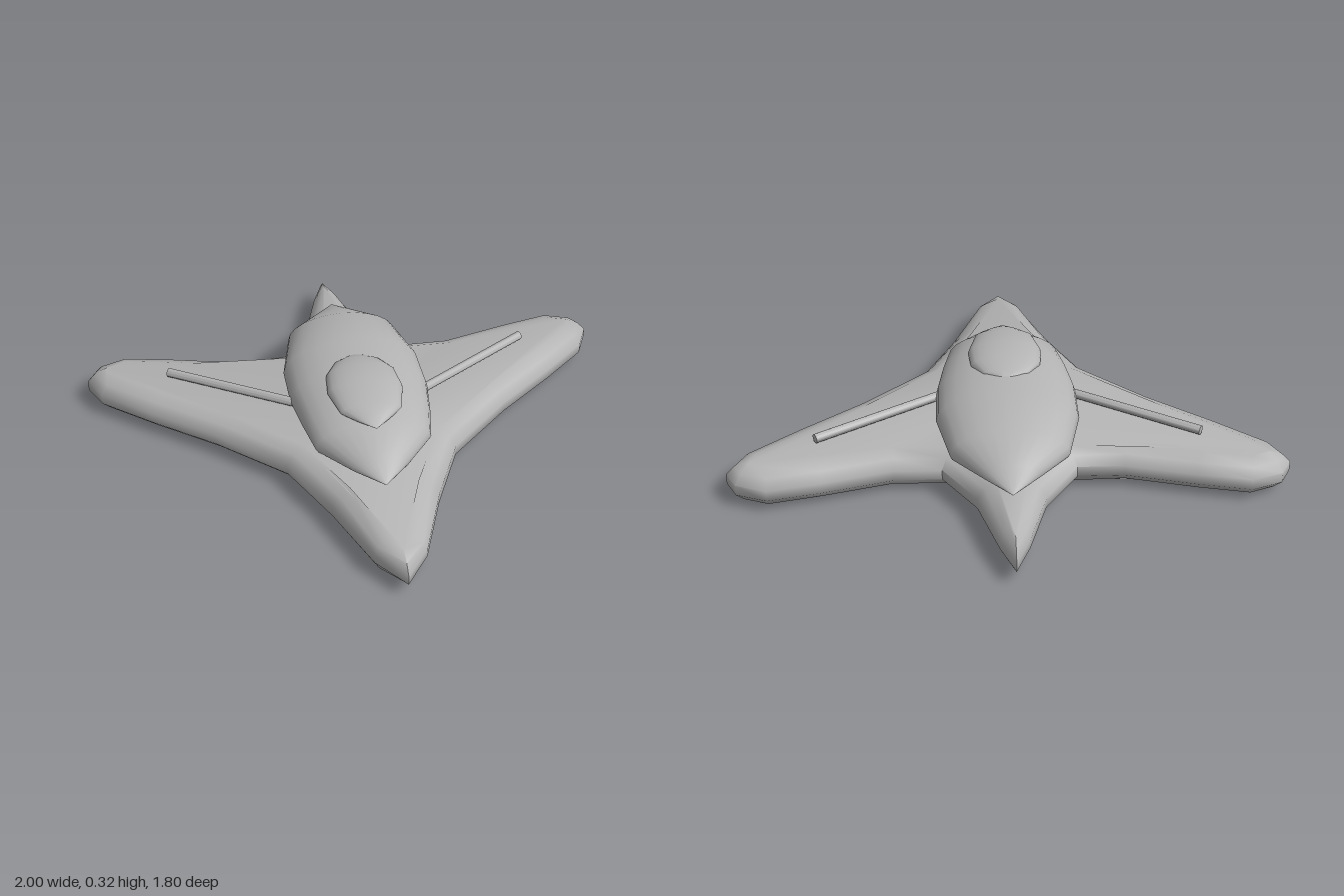
import * as THREE from 'three';
import { toCreasedNormals } from 'three/addons/utils/BufferGeometryUtils.js';

function makeGeometry(positions, index, crease) {
  const g = new THREE.BufferGeometry();
  g.setAttribute('position', new THREE.Float32BufferAttribute(positions, 3));
  g.setIndex(index);
  return toCreasedNormals(g, crease);
}

// Rounded slab: stacked, inset copies of the plan outline
function hullGeometry() {
  const half = [
    [0, 0.9], [0.09, 0.78], [0.19, 0.52], [0.31, 0.27], [0.55, 0.05], [0.77, -0.12],
    [0.95, -0.27], [1, -0.37], [0.96, -0.44], [0.85, -0.48], [0.66, -0.44], [0.41, -0.375],
    [0.24, -0.375], [0.12, -0.55], [0.05, -0.78], [0, -0.9],
  ];
  const outline = [...half, ...half.slice(1, -1).reverse().map(([x, z]) => [-x, z])];
  const layers = [[0, 0.075], [0.012, 0.035], [0.05, 0], [0.09, 0], [0.122, 0.03], [0.142, 0.075]];
  const n = outline.length;
  const positions = [];
  const index = [];
  for (const [y, inset] of layers) {
    outline.forEach(([x, z], i) => {
      const p = outline[(i + n - 1) % n];
      const q = outline[(i + 1) % n];
      const len = Math.hypot(q[0] - p[0], q[1] - p[1]);
      const tip = Math.abs(z) > 0.7;
      const d = inset * (tip ? (x === 0 ? 1.2 : 0.5) : 1);
      const flat = tip ? 0.85 : 1; // thinner at nose and tail
      positions.push(
        x + ((q[1] - p[1]) / len) * d,
        0.07 + (y - 0.07) * flat,
        z - ((q[0] - p[0]) / len) * d,
      );
    });
  }
  for (let k = 0; k < layers.length - 1; k++) {
    for (let i = 0; i < n; i++) {
      const a = k * n + i;
      const b = k * n + ((i + 1) % n);
      index.push(a, b, a + n, b, b + n, a + n);
    }
  }
  const top = (layers.length - 1) * n;
  const contour = outline.map(([x, z]) => new THREE.Vector2(x, -z));
  for (const [a, b, c] of THREE.ShapeUtils.triangulateShape(contour, [])) {
    index.push(top + a, top + b, top + c, a, c, b);
  }
  return makeGeometry(positions, index, 0.9);
}

// Pod lofted from stations: [z, half width, seam y, top y, bottom y], nose to tail
function podGeometry(stations, sides = 24) {
  const positions = [];
  const index = [];
  for (const [z, w, seam, top, bottom] of stations) {
    for (let j = 0; j < sides; j++) {
      const a = (j / sides) * Math.PI * 2;
      const s = Math.sin(a);
      positions.push(w * Math.cos(a), seam + s * (s > 0 ? top - seam : seam - bottom), z);
    }
  }
  for (let i = 0; i < stations.length - 1; i++) {
    for (let j = 0; j < sides; j++) {
      const a = i * sides + j;
      const b = i * sides + ((j + 1) % sides);
      if (i > 0) index.push(a, a + sides, b);
      if (i < stations.length - 2) index.push(b, a + sides, b + sides);
      else if (i === 0) index.push(b, a + sides, b + sides);
    }
  }
  return makeGeometry(positions, index, 0.9);
}

export function createModel() {
  const model = new THREE.Group();
  model.name = 'spacecraft';
  const grey = new THREE.MeshStandardMaterial({ color: 0xb4b4b4 });
  grey.name = 'hull grey';

  const add = (name, geometry) => {
    const mesh = new THREE.Mesh(geometry, grey);
    mesh.name = name;
    model.add(mesh);
    return mesh;
  };

  add('wingHull', hullGeometry());

  add('fuselage', podGeometry([
    [0.52, 0, 0.16, 0.16, 0.16],
    [0.42, 0.1, 0.16, 0.213, 0.14],
    [0.29, 0.21, 0.165, 0.262, 0.12],
    [0.15, 0.238, 0.17, 0.282, 0.11],
    [0.0, 0.26, 0.17, 0.293, 0.1],
    [-0.18, 0.26, 0.17, 0.291, 0.1],
    [-0.4, 0.21, 0.165, 0.268, 0.11],
    [-0.52, 0.1, 0.16, 0.213, 0.135],
    [-0.63, 0, 0.16, 0.16, 0.16],
  ]));

  add('canopy', podGeometry([
    [0.34, 0, 0.268, 0.268, 0.268],
    [0.29, 0.06, 0.27, 0.29, 0.262],
    [0.24, 0.11, 0.272, 0.307, 0.26],
    [0.12, 0.138, 0.275, 0.324, 0.255],
    [0.02, 0.128, 0.277, 0.32, 0.255],
    [-0.05, 0.085, 0.28, 0.304, 0.26],
    [-0.08, 0.03, 0.285, 0.293, 0.275],
    [-0.085, 0, 0.288, 0.288, 0.288],
  ]));

  // Slim barrels swept back over each wing
  for (const side of [1, -1]) {
    const start = new THREE.Vector3(side * 0.2, 0.165, 0.03);
    const end = new THREE.Vector3(side * 0.69, 0.165, -0.27);
    const dir = end.clone().sub(start);
    const barrel = add(side > 0 ? 'leftBarrel' : 'rightBarrel',
      toCreasedNormals(new THREE.CylinderGeometry(0.017, 0.017, dir.length(), 12), 0.9));
    barrel.position.copy(start).add(end).multiplyScalar(0.5);
    barrel.quaternion.setFromUnitVectors(new THREE.Vector3(0, 1, 0), dir.normalize());
  }

  return model;
}
